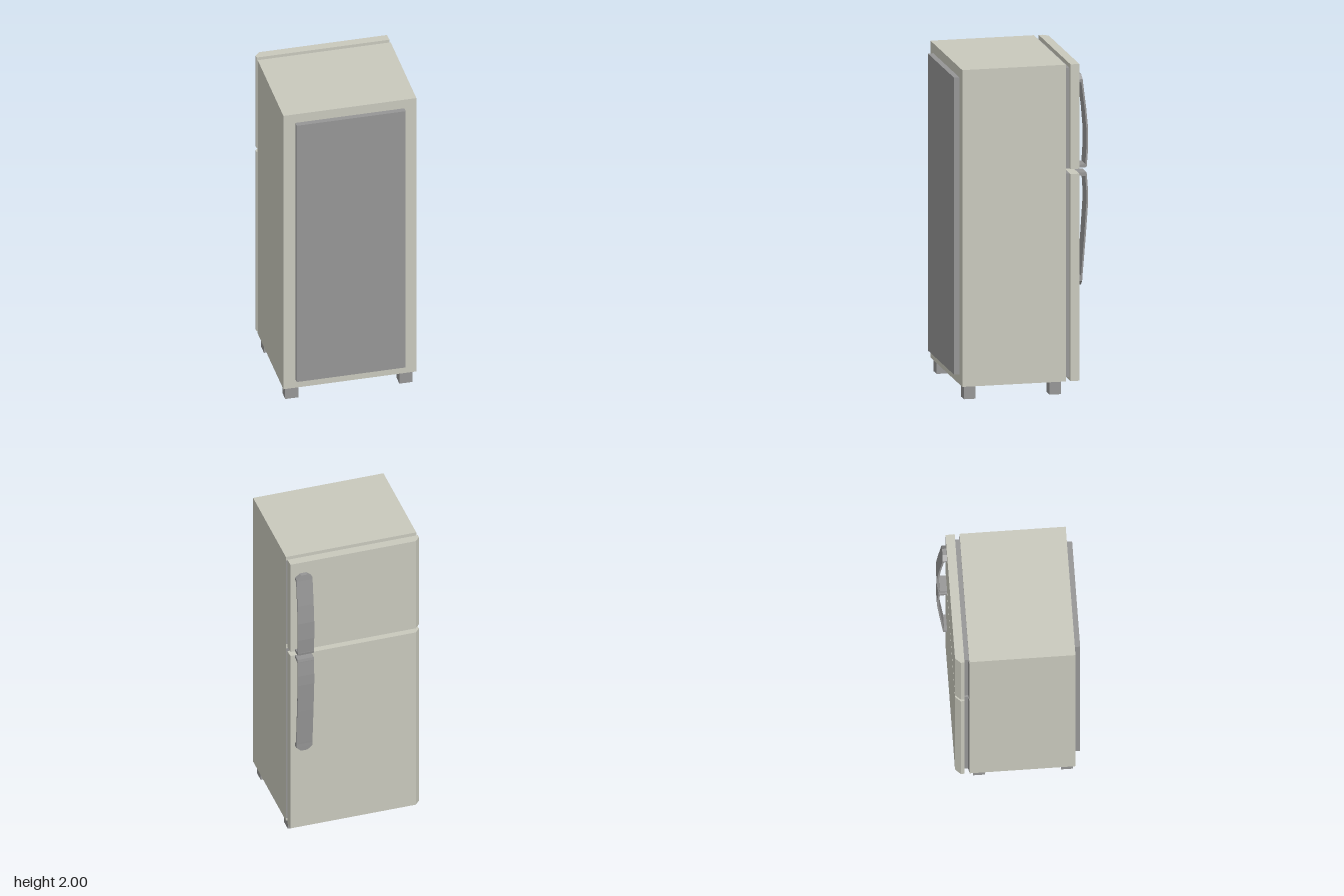
import * as THREE from 'three';

const cream = new THREE.MeshStandardMaterial({ color: 0xc8c8bc, flatShading: true });
const grey = new THREE.MeshStandardMaterial({ color: 0x959595, flatShading: true });

function addMesh(parent, name, geometry, material) {
  const mesh = new THREE.Mesh(geometry, material);
  mesh.name = name;
  parent.add(mesh);
  return mesh;
}

// Box given by its min and max corners
function box(parent, name, material, [x0, y0, z0], [x1, y1, z1]) {
  const geometry = new THREE.BoxGeometry(x1 - x0, y1 - y0, z1 - z0);
  geometry.translate((x0 + x1) / 2, (y0 + y1) / 2, (z0 + z1) / 2);
  return addMesh(parent, name, geometry, material);
}

// Plan outline of [x, z] points raised from y0 to y1
function prism(parent, name, material, outline, y0, y1) {
  const shape = new THREE.Shape(outline.map(([x, z]) => new THREE.Vector2(x, -z)));
  const geometry = new THREE.ExtrudeGeometry(shape, { depth: y1 - y0, bevelEnabled: false });
  geometry.rotateX(-Math.PI / 2);
  geometry.translate(0, y0, 0);
  return addMesh(parent, name, geometry, material);
}

// Handle lofted downwards through rows of [y, outer z, inner z, half width]
function handleGeometry(rows, centreX) {
  const positions = [];
  const index = [];
  for (const [y, zo, zi, w] of rows) {
    for (const [x, z] of [[-w, zo], [w, zo], [w, zi], [-w, zi]]) {
      positions.push(centreX + x, y, z);
    }
  }
  const last = (rows.length - 1) * 4;
  for (let r = 0; r < last; r += 4) {
    for (let k = 0; k < 4; k++) {
      const n = (k + 1) % 4;
      index.push(r + k, r + n, r + 4 + n, r + k, r + 4 + n, r + 4 + k);
    }
  }
  index.push(0, 2, 1, 0, 3, 2, last, last + 1, last + 2, last, last + 2, last + 3);
  const geometry = new THREE.BufferGeometry();
  geometry.setAttribute('position', new THREE.Float32BufferAttribute(positions, 3));
  geometry.setIndex(index);
  const flat = geometry.toNonIndexed();
  flat.computeVertexNormals();
  return flat;
}

export function createModel() {
  const group = new THREE.Group();
  group.name = 'refrigerator';

  // Cabinet and the raised panel on its far side from the doors
  box(group, 'cabinet', cream, [-0.405, 0.08, -0.259], [0.405, 2, 0.37]);
  box(group, 'rearPanel', grey, [-0.332, 0.14, 0.37], [0.332, 1.94, 0.403]);

  // Feet
  for (const x of [-0.35, 0.345]) {
    for (const z of [-0.2, 0.32]) {
      box(group, 'foot', grey, [x - 0.04, 0, z - 0.035], [x + 0.04, 0.08, z + 0.035]);
    }
  }

  // Doors with one bevelled edge, and the seals behind them
  const doorOutline = [
    [-0.405, -0.288], [0.405, -0.288], [0.403, -0.342], [-0.375, -0.342], [-0.405, -0.31],
  ];
  const sealOutline = [
    [-0.405, -0.259], [0.405, -0.259], [0.38, -0.265],
    [0.38, -0.288], [-0.38, -0.288], [-0.38, -0.265],
  ];
  prism(group, 'freezerDoor', cream, doorOutline, 1.365, 2);
  prism(group, 'fridgeDoor', cream, doorOutline, 0.08, 1.335);
  prism(group, 'freezerSeal', grey, sealOutline, 1.365, 1.975);
  prism(group, 'fridgeSeal', grey, sealOutline, 0.1, 1.335);

  // Bowed handles: clipped outer end, thin grip, square inner end
  const base = -0.342;
  const upperRows = [
    [1.925, -0.367, base, 0.02],
    [1.9, -0.369, base, 0.05],
    [1.888, -0.37, base, 0.05],
    [1.88, -0.371, -0.361, 0.05],
    [1.72, -0.391, -0.381, 0.05],
    [1.6, -0.402, -0.391, 0.05],
    [1.48, -0.402, -0.391, 0.05],
    [1.385, -0.395, -0.385, 0.05],
    [1.38, -0.395, base, 0.05],
    [1.365, -0.392, base, 0.05],
  ];
  const lowerRows = [
    [1.335, -0.392, base, 0.05],
    [1.317, -0.395, base, 0.05],
    [1.312, -0.395, -0.385, 0.05],
    [1.22, -0.402, -0.391, 0.05],
    [1.15, -0.402, -0.391, 0.05],
    [0.95, -0.388, -0.378, 0.05],
    [0.71, -0.368, -0.359, 0.05],
    [0.7, -0.367, base, 0.05],
    [0.677, -0.366, base, 0.05],
    [0.648, -0.364, base, 0.02],
  ];
  addMesh(group, 'freezerHandle', handleGeometry(upperRows, 0.325), grey);
  addMesh(group, 'fridgeHandle', handleGeometry(lowerRows, 0.325), grey);

  return group;
}
